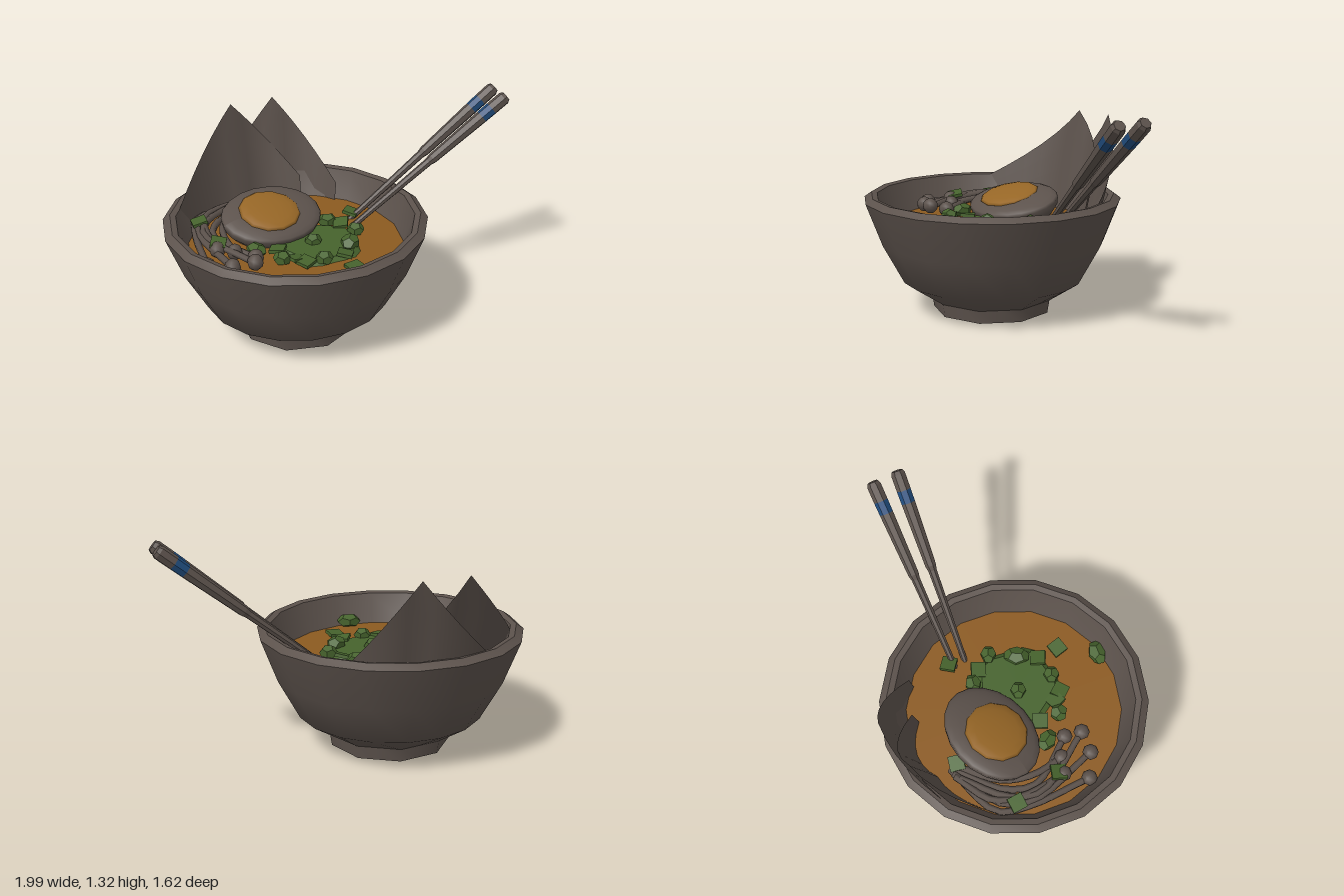
import * as THREE from 'three';
import { toCreasedNormals } from 'three/addons/utils/BufferGeometryUtils.js';

const CX = -0.22, CZ = 0.013; // bowl centre
const SOUP_Y = 0.54;

function makeMaterial(name, color, extra = {}) {
  const m = new THREE.MeshStandardMaterial({ color, ...extra });
  m.name = name;
  return m;
}

export function createModel() {
  const model = new THREE.Group();
  model.name = 'noodleBowl';
  const clay = makeMaterial('clayBrown', 0x5c524c);
  const sheetMat = makeMaterial('seaweedBrown', 0x5a504a, { side: THREE.DoubleSide });
  const broth = makeMaterial('brothOrange', 0x8b5a20);
  const yolkMat = makeMaterial('yolkOrange', 0x966626);
  const green = makeMaterial('herbGreen', 0x46632d, { flatShading: true });
  const blue = makeMaterial('bandBlue', 0x1f4a7a);

  const add = (name, geometry, material, parent = model) => {
    const mesh = new THREE.Mesh(geometry, material);
    mesh.name = name;
    parent.add(mesh);
    return mesh;
  };

  // Bowl: 18 sides, with a coarser nine-sided foot
  const profile = [
    [0, 0], [0.365, 0], [0.378, 0.08], [0.56, 0.2], [0.69, 0.44], [0.788, 0.7],
    [0.745, 0.73], [0.71, 0.722], [0.645, SOUP_Y], [0.6, 0.46],
  ].map(([r, y]) => new THREE.Vector2(r, y));
  const bowlGeo = new THREE.LatheGeometry(profile, 18);
  const bp = bowlGeo.attributes.position;
  for (let i = 0; i < bp.count; i++) {
    const column = Math.floor(i / profile.length);
    if (bp.getY(i) < 0.1 && column % 2 === 1) {
      const k = Math.cos(Math.PI / 9);
      bp.setX(i, bp.getX(i) * k);
      bp.setZ(i, bp.getZ(i) * k);
    }
  }
  add('bowl', toCreasedNormals(bowlGeo, 0.75), clay).position.set(CX, 0, CZ);

  // Broth surface
  const soup = add('broth', new THREE.CircleGeometry(0.65, 18, Math.PI / 2), broth);
  soup.rotation.x = -Math.PI / 2;
  soup.position.set(CX, SOUP_Y, CZ);

  // Ragged bed of herbs
  const bedGeo = new THREE.CylinderGeometry(0.22, 0.25, 0.025, 22);
  const hp = bedGeo.attributes.position;
  for (let i = 0; i < hp.count; i++) {
    const a = Math.atan2(hp.getZ(i), hp.getX(i));
    const k = 1 + 0.07 * Math.sin(5 * a) + 0.05 * Math.cos(11 * a);
    hp.setX(i, hp.getX(i) * k);
    hp.setZ(i, hp.getZ(i) * k);
  }
  add('herbBed', bedGeo, green).position.set(-0.08, SOUP_Y + 0.012, 0.03);

  // Chopped leaf squares: x, y, z, turn
  [
    [-0.81, 0.64, 0.03, 0.5], [-0.63, 0.64, 0.27, 0.1], [-0.57, 0.62, -0.32, 0.2],
    [0.06, 0.57, -0.38, -0.2], [0.02, 0.58, -0.2, 0.1], [0.1, 0.57, 0.16, 0],
    [0.17, 0.56, 0.28, 0.65], [-0.11, 0.57, 0.29, 1.1], [-0.3, 0.57, 0.17, 0],
    [-0.17, 0.57, 0.26, 0.8],
  ].forEach(([x, y, z, turn], i) => {
    const leaf = add('leafSquare', new THREE.BoxGeometry(0.09, 0.02, 0.09), green);
    leaf.position.set(x, y, z);
    leaf.rotation.set(0.22 * Math.sin(i * 2), turn, 0.22 * Math.cos(i * 3));
  });

  // Sprout nuggets: x, z, half length, half width, turn
  [
    [-0.07, -0.23, 0.065, 0.05, 0.3], [0.12, -0.14, 0.055, 0.05, 0], [0.11, 0.03, 0.08, 0.058, 1.5],
    [-0.11, 0.04, 0.052, 0.05, 0], [-0.01, 0.24, 0.053, 0.05, 0], [-0.25, 0.28, 0.055, 0.055, 0.4],
    [-0.42, 0.21, 0.07, 0.055, -0.6], [0.13, 0.52, 0.078, 0.055, 0.35],
  ].forEach(([x, z, length, width, turn]) => {
    const nugget = add('sproutNugget', new THREE.DodecahedronGeometry(1), green);
    nugget.scale.set(length, 0.045, width);
    nugget.rotation.y = turn;
    nugget.position.set(x, 0.575, z);
  });

  // Thin-stemmed mushrooms sweeping along the left wall
  [
    [-0.60, -0.36, -0.85, -0.02, -0.65, 0.45], [-0.63, -0.34, -0.81, 0.02, -0.5, 0.46],
    [-0.66, -0.30, -0.77, 0.05, -0.38, 0.41], [-0.61, -0.32, -0.72, 0.02, -0.4, 0.31],
    [-0.58, -0.33, -0.67, 0.0, -0.53, 0.29], [-0.65, -0.33, -0.79, -0.04, -0.63, 0.3],
  ].forEach(([x0, z0, x1, z1, x2, z2], i) => {
    const lift = 0.012 * (i % 3);
    const path = new THREE.CatmullRomCurve3([
      new THREE.Vector3(x0, 0.59 + lift, z0),
      new THREE.Vector3(x1, 0.6 + lift, z1 - 0.07),
      new THREE.Vector3(x1 + 0.03, 0.6 + lift, z1 + 0.12),
      new THREE.Vector3(x2, 0.58 + lift, z2),
    ]);
    add('mushroomStem', new THREE.TubeGeometry(path, 12, 0.021, 6), clay);
    const cap = add('mushroomCap', new THREE.SphereGeometry(0.048, 8, 6), clay);
    cap.position.set(x2, 0.585 + lift, z2);
  });

  // Half egg: deep below, nearly flat on the tilted cut face
  const egg = new THREE.Group();
  egg.name = 'halfEgg';
  egg.rotation.order = 'YXZ';
  egg.rotation.set(0.27, 0.7, 0);
  egg.position.set(-0.395, 0.645, -0.115);
  model.add(egg);
  const eggGeo = new THREE.SphereGeometry(1, 20, 12);
  const ep = eggGeo.attributes.position;
  for (let i = 0; i < ep.count; i++) {
    const y = ep.getY(i);
    ep.setXYZ(i, ep.getX(i) * 0.32, y * (y > 0 ? 0.055 : 0.15), ep.getZ(i) * 0.255);
  }
  eggGeo.computeVertexNormals();
  add('eggWhite', eggGeo, clay, egg);
  const yolk = add('eggYolk', new THREE.SphereGeometry(1, 12, 8), yolkMat, egg);
  yolk.scale.set(0.19, 0.032, 0.185);
  yolk.position.set(-0.02, 0.042, 0.005);

  // Seaweed sheets: pointed, bent along a plan curve, leaning inward below
  function seaweed(name, left, mid, right, peak, low) {
    const control = mid.map((m, k) => 2 * m - (left[k] + right[k]) / 2);
    const plan = new THREE.QuadraticBezierCurve(
      new THREE.Vector2(...left), new THREE.Vector2(...control), new THREE.Vector2(...right));
    const geo = new THREE.PlaneGeometry(1, 1, 12, 4);
    const p = geo.attributes.position;
    for (let i = 0; i < p.count; i++) {
      const t = p.getX(i) + 0.5, down = 0.5 - p.getY(i);
      const top = low + (peak - low) * (1 - Math.abs(2 * t - 1));
      const y = top + (0.5 - top) * down;
      const k = 1 - 0.3 * (top - y);
      const q = plan.getPoint(t);
      p.setXYZ(i, CX + (q.x - CX) * k, y, CZ + (q.y - CZ) * k);
    }
    geo.computeVertexNormals();
    add(name, geo, sheetMat);
  }
  seaweed('frontSeaweed', [-0.925, 0.09], [-0.73, -0.54], [-0.3, -0.58], 1.18, 0.7);
  seaweed('backSeaweed', [-0.86, -0.3], [-0.5, -0.71], [-0.07, -0.61], 1.18, 0.65);

  // Chopsticks: sections given as start, end, start radius, end radius
  const sections = [
    ['stickTip', 0, 0.52, 0.017, 0.026, clay],
    ['stickCollar', 0.52, 0.545, 0.026, 0.033, clay],
    ['stickHandle', 0.545, 0.85, 0.033, 0.041, clay],
    ['stickBand', 0.85, 0.91, 0.041, 0.042, blue],
    ['stickTop', 0.91, 0.985, 0.042, 0.042, clay],
    ['stickEnd', 0.985, 1, 0.042, 0.032, clay],
  ];
  function chopstick(name, from, to) {
    const stick = new THREE.Group();
    stick.name = name;
    const dir = new THREE.Vector3().subVectors(to, from);
    const length = dir.length();
    stick.position.copy(from);
    stick.quaternion.setFromUnitVectors(new THREE.Vector3(0, 1, 0), dir.normalize());
    for (const [part, a, b, r0, r1, material] of sections) {
      const geo = new THREE.CylinderGeometry(r1, r0, (b - a) * length, 7);
      add(part, toCreasedNormals(geo, 0.5), material, stick).position.y = (a + b) / 2 * length;
    }
    model.add(stick);
  }
  chopstick('backChopstick', new THREE.Vector3(0.01, 0.49, -0.32), new THREE.Vector3(0.895, 1.295, -0.785));
  chopstick('frontChopstick', new THREE.Vector3(0.05, 0.49, -0.265), new THREE.Vector3(0.97, 1.29, -0.65));

  return model;
}
